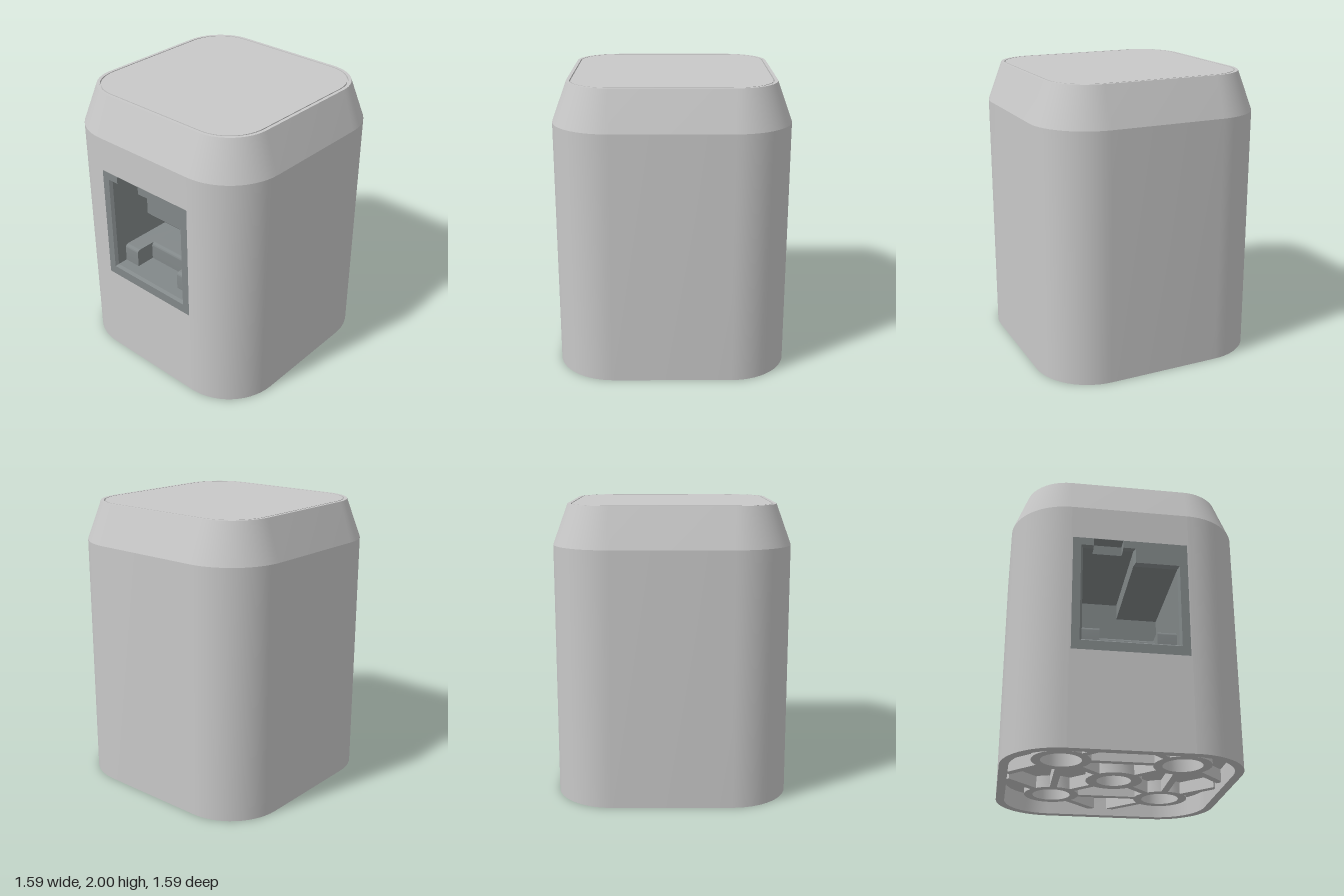
import * as THREE from 'three';
import { toCreasedNormals } from 'three/addons/utils/BufferGeometryUtils.js';

const C = 0.4; // centre of the corner arcs, and of the corner bosses

// Rounded square (x, z), starting at the front and running counterclockwise from above
function outline(half, steps = 14) {
  const pts = [];
  [[C, C], [C, -C], [-C, -C], [-C, C]].forEach(([cx, cz], q) => {
    for (let i = 0; i <= steps; i++) {
      const a = (q + i / steps) * Math.PI / 2;
      pts.push(new THREE.Vector2(cx + (half - C) * Math.sin(a), cz + (half - C) * Math.cos(a)));
    }
  });
  return pts;
}

const level = (half, y) => outline(half).map(p => [p.x, y, p.y]);

// Skin between successive rings of points
function loft(rings, closed = true) {
  const pos = [];
  for (let r = 0; r < rings.length - 1; r++) {
    const a = rings[r], b = rings[r + 1], n = a.length;
    for (let i = 0; i < (closed ? n : n - 1); i++) {
      const j = (i + 1) % n;
      pos.push(...a[i], ...a[j], ...b[j], ...a[i], ...b[j], ...b[i]);
    }
  }
  const g = new THREE.BufferGeometry();
  g.setAttribute('position', new THREE.Float32BufferAttribute(pos, 3));
  return toCreasedNormals(g, 0.25);
}

const rect = (x0, y0, x1, y1) =>
  [[x0, y0], [x1, y0], [x1, y1], [x0, y1]].map(p => new THREE.Vector2(...p));

// Flat face with holes
function face(pts, holes = []) {
  const s = new THREE.Shape(pts);
  holes.forEach(h => s.holes.push(new THREE.Path(h)));
  return new THREE.ShapeGeometry(s);
}
const faceUp = (pts, y, holes) => face(pts, holes).rotateX(-Math.PI / 2).translate(0, y, 0);
const faceDown = (pts, y, holes) => face(pts, holes).rotateX(Math.PI / 2).translate(0, y, 0);

export function createModel() {
  const shell = new THREE.MeshStandardMaterial({ name: 'light grey', color: 0xc8c8c8 });
  const dark = new THREE.MeshStandardMaterial({ name: 'slate grey', color: 0x828889 });
  const model = new THREE.Group();
  model.name = 'socketBlock';
  const group = name => {
    const g = new THREE.Group();
    g.name = name;
    model.add(g);
    return g;
  };
  const add = (parent, name, geo, mat) => {
    const m = new THREE.Mesh(geo, mat);
    m.name = name;
    parent.add(m);
    return m;
  };

  // Outer body: walls, pierced front panel, sloped shoulder
  const H = 0.795, SHOULDER = 1.73;
  const frameRect = rect(-0.39, 0.66, 0.39, 1.49);
  const body = group('body');
  add(body, 'walls', loft([level(H, 0), level(H, SHOULDER)], false), shell);
  add(body, 'frontPanel', face(rect(-C, 0, C, SHOULDER), [frameRect]).translate(0, 0, H), shell);
  add(body, 'shoulder', loft([level(H, SHOULDER), level(0.695, 2)]), shell);

  // Lid set in a narrow groove
  const lid = group('lid');
  add(lid, 'rim', faceUp(outline(0.695), 2, [outline(0.673)]), shell);
  add(lid, 'grooveOuterWall', loft([level(0.673, 2), level(0.673, 1.985)]), shell);
  add(lid, 'grooveFloor', faceUp(outline(0.673), 1.985, [outline(0.665)]), shell);
  add(lid, 'grooveInnerWall', loft([level(0.665, 1.985), level(0.665, 2)]), shell);
  add(lid, 'lidPlate', faceUp(outline(0.665), 2), shell);

  // Socket: bevelled opening with a shallow notch, running back to a rear wall
  const socket = group('socket');
  const bevel = [[-0.335, 0.725], [0.335, 0.725], [0.335, 1.325], [0.035, 1.325], [0.035, 1.435],
    [-0.05, 1.435], [-0.05, 1.488], [-0.25, 1.488], [-0.25, 1.435], [-0.335, 1.435]];
  const opening = [[-0.32, 0.74], [0.32, 0.74], [0.32, 1.305], [0.02, 1.305], [0.02, 1.42],
    [-0.05, 1.42], [-0.05, 1.488], [-0.25, 1.488], [-0.25, 1.42], [-0.32, 1.42]];
  const cavity = opening.map(([x, y]) => [x, Math.min(y, 1.42)]);
  const at = (pts, z) => pts.map(([x, y]) => [x, y, z]);
  const BACK = 0;
  add(socket, 'socketFrame',
    face(frameRect, [bevel.map(p => new THREE.Vector2(...p))]).translate(0, 0, H), dark);
  add(socket, 'socketWalls', loft([at(bevel, H), at(opening, H - 0.02), at(opening, 0.71),
    at(cavity, 0.71), at(cavity, BACK)]), dark);
  add(socket, 'socketBack', face(rect(-0.32, 0.74, 0.32, 1.42)).translate(0, 0, BACK), dark);

  // Ledge on the socket floor: two forward blocks and a recessed middle, front edge rounded
  const ledge = (name, x0, x1, front) => {
    const s = new THREE.Shape(), r = 0.025, top = 0.87;
    s.moveTo(BACK, 0.74);
    s.lineTo(front, 0.74);
    s.lineTo(front, top - r);
    s.absarc(front - r, top - r, r, 0, Math.PI / 2, false);
    s.lineTo(BACK, top);
    const g = new THREE.ExtrudeGeometry(s, { depth: x1 - x0, bevelEnabled: false, curveSegments: 6 });
    add(socket, name, toCreasedNormals(g.rotateY(-Math.PI / 2).translate(x1, 0, 0), 0.5), dark);
  };
  ledge('rightLedge', -0.32, -0.195, 0.7);
  ledge('middleLedge', -0.195, 0.19, 0.56);
  ledge('leftLedge', 0.19, 0.32, 0.7);

  // Hollow underside
  const INNER = 0.735, FLOOR = 0.135, RIB = 0.05;
  const under = group('underside');
  const bosses = [[0, 0, 0.12]];
  for (const sx of [-1, 1]) for (const sz of [-1, 1]) bosses.push([sx * C, sz * C, 0.135]);
  const holes = bosses.map(([x, z, r]) =>
    new THREE.Path().absarc(x, z, r, 0, Math.PI * 2).getPoints(32).slice(0, -1));
  add(under, 'bottomRim', faceDown(outline(H), 0, [outline(INNER)]), shell);
  add(under, 'innerWall', loft([level(INNER, FLOOR), level(INNER, 0)]), shell);
  add(under, 'recessFloor', faceDown(outline(INNER), FLOOR, holes), shell);

  // Ring bosses with blind holes
  for (const [x, z, r] of bosses) {
    const profile = [[0, 0.4], [r, 0.4], [r, RIB], [0.195, RIB], [0.195, FLOOR]]
      .map(p => new THREE.Vector2(...p));
    const g = toCreasedNormals(new THREE.LatheGeometry(profile, 32), 0.5);
    const m = add(under, 'ringBoss', g, shell);
    m.material = shell;
    m.position.set(x, 0, z);
    // profile runs top to bottom along the bore, so turn the skin outward
    const p = g.attributes.position, n = g.attributes.normal;
    const a = new THREE.Vector3(), b = new THREE.Vector3(), c = new THREE.Vector3();
    let down = 0;
    for (let i = 0; i < p.count; i += 3) {
      a.fromBufferAttribute(p, i); b.fromBufferAttribute(p, i + 1); c.fromBufferAttribute(p, i + 2);
      down += b.sub(a).cross(c.sub(a)).y;
    }
    if (down > 0) {
      for (let i = 0; i < p.count; i += 3) {
        b.fromBufferAttribute(p, i + 1); c.fromBufferAttribute(p, i + 2);
        p.setXYZ(i + 1, c.x, c.y, c.z); p.setXYZ(i + 2, b.x, b.y, b.z);
      }
      g.deleteAttribute('normal');
      m.geometry = toCreasedNormals(g, 0.5);
    }
  }

  // Ribs joining the bosses to each other and to the wall
  const rib = (x, z, angle, from, to) => {
    const g = new THREE.BoxGeometry(to - from, FLOOR - RIB, 0.05);
    g.translate((from + to) / 2, (FLOOR + RIB) / 2, 0).rotateY(angle).translate(x, 0, z);
    add(under, 'rib', g, shell);
  };
  for (let k = 0; k < 4; k++) {
    const q = k * Math.PI / 2, d = q + Math.PI / 4;
    const x = C * Math.SQRT2 * Math.cos(d), z = -C * Math.SQRT2 * Math.sin(d);
    rib(C * Math.cos(q), -C * Math.sin(q), q + Math.PI / 2, -0.22, 0.22);
    rib(0, 0, d, 0.18, 0.39);
    for (const side of [-1, 1]) rib(x, z, d + side * Math.PI / 2, 0.18, 0.474);
  }
  return model;
}
